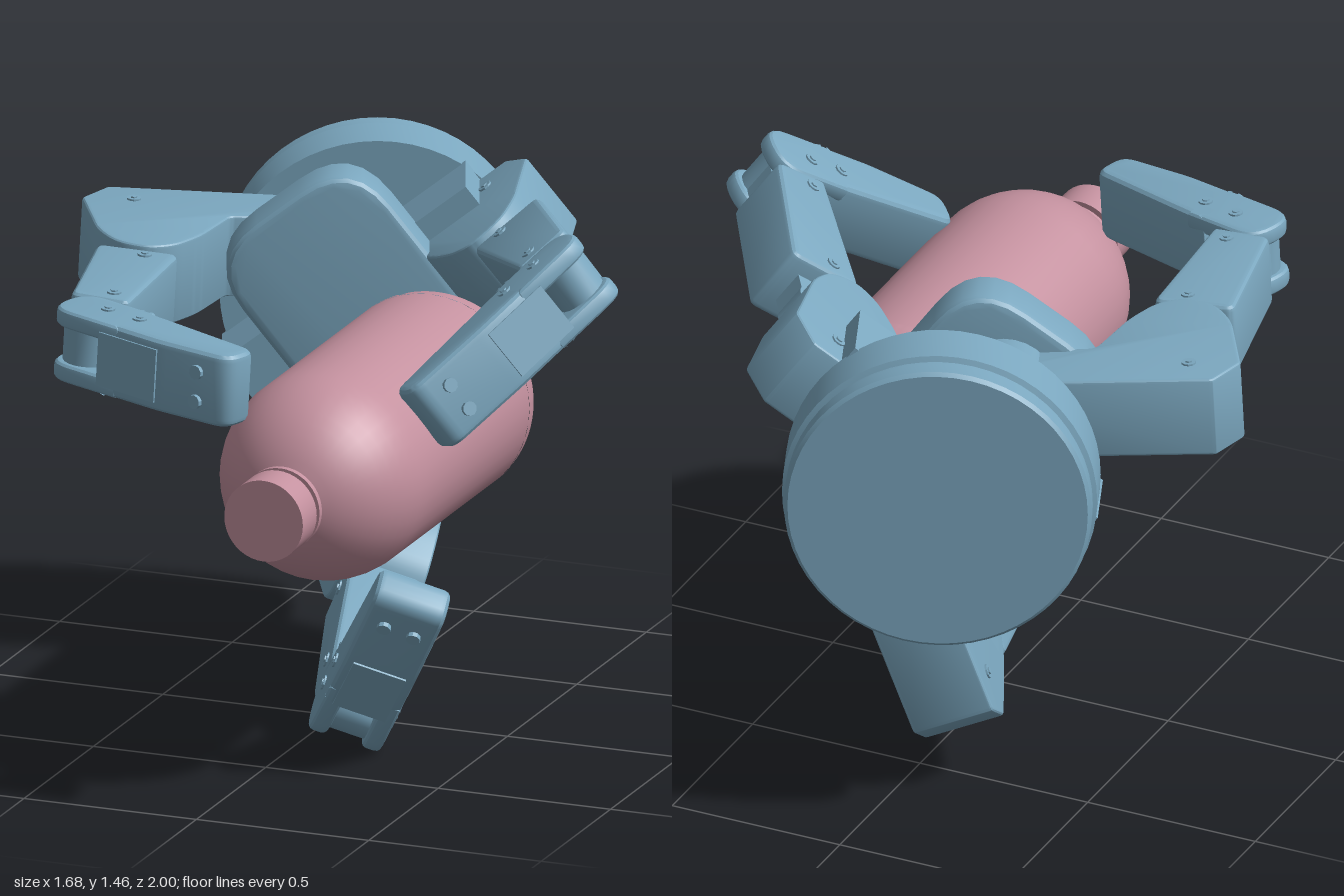
import * as THREE from 'three';
import { toCreasedNormals } from 'three/addons/utils/BufferGeometryUtils.js';

const steel = new THREE.MeshStandardMaterial({ color: 0x7ba7bf });
const pink = new THREE.MeshStandardMaterial({ color: 0xc4919f });

function add(parent, name, geo, mat = steel) {
  const m = new THREE.Mesh(toCreasedNormals(geo, 0.5), mat);
  m.name = name;
  parent.add(m);
  return m;
}

// Closed outline from [x, y, cornerRadius] points
function outline(pts) {
  const s = new THREE.Shape();
  const n = pts.length;
  pts.forEach(([x, y, r = 0.004], i) => {
    const toward = ([px, py]) => {
      const d = Math.hypot(px - x, py - y);
      return [x + (px - x) * r / d, y + (py - y) * r / d];
    };
    const a = toward(pts[(i + n - 1) % n]), b = toward(pts[(i + 1) % n]);
    if (i) s.lineTo(...a); else s.moveTo(...a);
    s.quadraticCurveTo(x, y, ...b);
  });
  s.closePath();
  return s;
}

// Outline extruded along z with bevelled rims, centred
function slab(pts, depth, bevel) {
  const g = new THREE.ExtrudeGeometry(outline(pts), {
    depth: depth - 2 * bevel, curveSegments: 6, bevelEnabled: true, bevelSegments: 3,
    bevelSize: bevel, bevelThickness: bevel, bevelOffset: -bevel,
  });
  return g.translate(0, 0, -depth / 2 + bevel);
}

// Side profile in the x-z plane, given a width along y
const link = (pts, width, bevel = 0.01) => slab(pts, width, bevel).rotateX(Math.PI / 2);

function addScrews(parent, xs, halfWidth, z) {
  for (const x of xs) {
    for (const side of [-1, 1]) {
      add(parent, 'screw', new THREE.CylinderGeometry(0.02, 0.02, 0.01, 10).translate(x, side * halfWidth, z));
      add(parent, 'screwHead', new THREE.CylinderGeometry(0.01, 0.01, 0.018, 6).translate(x, side * halfWidth, z));
    }
  }
}

// Group at a joint with its x axis aimed at the next joint
function jointGroup(parent, name, from, to) {
  const g = new THREE.Group();
  g.name = name;
  g.position.set(from[0], 0, from[1]);
  g.rotation.y = -Math.atan2(to[1] - from[1], to[0] - from[0]);
  parent.add(g);
  return [g, Math.hypot(to[0] - from[0], to[1] - from[1])];
}

// One finger: x runs outward from the palm, z forward, y across the width
function addFinger(palm, { name, angle, offset, shift, start, A, B, T }) {
  const f = new THREE.Group();
  f.name = name;
  const a = THREE.MathUtils.degToRad(angle);
  f.rotation.z = a;
  f.position.set(-Math.sin(a) * offset, Math.cos(a) * offset, 0);
  palm.add(f);

  // L-shaped base with a rounded knuckle
  const s = shift;
  add(f, 'fingerBase', link([
    [start, 0.0], [start, 0.18], [0.42 + s, 0.2, 0.02], [0.5 + s, 0.37, 0.04], [0.57 + s, 0.46, 0.04],
    [0.64 + s, 0.485, 0.03], [0.73 + s, 0.45, 0.05], [0.78 + s, 0.35, 0.04], [0.82 + s, 0.1, 0.01], [0.75 + s, 0.0, 0.01],
  ], 0.23));
  addScrews(f, [0.68 + s], 0.115, 0.1);

  // Middle link: tapered body with a tongue at both ends
  const [mid, L] = jointGroup(f, 'middleLink', A, B);
  add(mid, 'middleBody', link([
    [0.09, -0.115, 0.03], [0.09, 0.115, 0.03], [L - 0.07, 0.085, 0.02], [L - 0.09, -0.08, 0.02],
  ], 0.205, 0.018));
  add(mid, 'middleTongue', new THREE.BoxGeometry(L, 0.1, 0.12).translate(L / 2, 0, 0));
  for (const x of [0, L]) add(mid, 'hinge', new THREE.CylinderGeometry(0.07, 0.07, 0.1, 20).translate(x, 0, 0));
  addScrews(mid, [0.14, L - 0.13], 0.1025, 0.03);

  // Fingertip: two cheeks around the hinge, then a tapered body
  const [tip, D] = jointGroup(f, 'fingertip', B, T);
  for (const side of [-1, 1]) {
    add(tip, 'cheek', link([
      [-0.085, -0.085, 0.08], [-0.085, 0.085, 0.08], [0.16, 0.085], [0.16, -0.085],
    ], 0.054, 0.016).translate(0, side * 0.076, 0));
  }
  add(tip, 'fingertipBody', link([
    [0.1, -0.085], [0.1, 0.085], [0.2, 0.08, 0.03], [D, 0.055, 0.04], [D, -0.06, 0.05], [0.3, -0.085, 0.03],
  ], 0.206, 0.022));
  addScrews(tip, [0.05, 0.16], 0.103, 0.01);
  add(tip, 'backPanel', new THREE.BoxGeometry(0.2, 0.15, 0.008).translate(0.2, 0, -0.086));
  for (const side of [-1, 1]) {
    add(tip, 'tipScrew', new THREE.CylinderGeometry(0.02, 0.02, 0.03, 10)
      .rotateX(Math.PI / 2).translate(D - 0.1, side * 0.042, -0.066));
  }
}

function addBottle(root) {
  const bottle = new THREE.Group();
  bottle.name = 'bottle';
  bottle.position.set(0.195, 0.84, 0);
  root.add(bottle);
  const R = 0.288, V = (x, y) => new THREE.Vector2(x, y);

  // Body, dome, neck ring and cap
  const profile = [V(R, -0.2), V(R, 0.54)];
  for (let i = 1; i <= 10; i++) {
    const t = i / 10 * 1.27;
    profile.push(V(R * Math.cos(t), 0.54 + 0.304 * Math.sin(t)));
  }
  profile.push(V(0.085, 0.862), V(0.114, 0.862), V(0.114, 0.88), V(0.085, 0.88), V(0.085, 0.9),
    V(0.114, 0.9), V(0.114, 1), V(0, 1));
  add(bottle, 'bottleBody', new THREE.LatheGeometry(profile, 40).rotateX(Math.PI / 2), pink);

  // Rounded base cut by five V grooves
  const base = new THREE.RingGeometry(0, 1, 240, 40).rotateY(Math.PI);
  const p = base.attributes.position, step = Math.PI * 0.4;
  for (let i = 0; i < p.count; i++) {
    const x = p.getX(i), y = p.getY(i), t = Math.hypot(x, y), th = Math.atan2(y, x);
    const q = Math.max(0, (t - 0.6) / 0.4) * Math.PI / 2;
    const r = t < 0.6 ? t / 0.6 * 0.2 : 0.2 + 0.088 * Math.sin(q);
    const z = -0.2 - 0.12 * Math.cos(q);
    const off = th - step / 2 - Math.round((th - step / 2) / step) * step;
    const groove = -0.2 - 0.05 * (1 - r / R) - 1.6 * Math.abs(r * Math.sin(off));
    p.setXYZ(i, r * Math.cos(th), r * Math.sin(th), Math.max(z, groove));
  }
  add(bottle, 'bottleBase', base, pink);
}

export function createModel() {
  const root = new THREE.Group();
  root.name = 'gripperWithBottle';

  // Palm frame: z points out of the palm
  const palm = new THREE.Group();
  palm.name = 'gripper';
  palm.position.set(-0.13, 0.975, -0.628);
  palm.rotation.set(0.025, THREE.MathUtils.degToRad(22), 0, 'YXZ');
  root.add(palm);

  // Round wrist housing with a groove near the back
  const wrist = [[0, -0.235], [0.405, -0.235], [0.415, -0.225], [0.415, -0.175], [0.41, -0.17], [0.41, -0.158],
    [0.425, -0.152], [0.425, 0], [0, 0]].map(([x, y]) => new THREE.Vector2(x, y));
  add(palm, 'wristHousing', new THREE.LatheGeometry(wrist, 56).rotateX(Math.PI / 2));

  // Palm pad and the cross block behind it
  const pad = new THREE.Group();
  pad.name = 'palm';
  pad.rotation.z = THREE.MathUtils.degToRad(37);
  palm.add(pad);
  const w = 0.25, h = 0.435, r = 0.18;
  add(pad, 'palmPad', slab([[-w, -h, r], [w, -h, r], [w, h, r], [-w, h, r]], 0.15, 0.025).translate(-0.01, 0, 0.25));
  add(pad, 'crossBlock', new THREE.BoxGeometry(0.82, 0.24, 0.22).translate(0, 0.03, 0.1));
  for (const side of [-1, 1]) {
    add(pad, 'fingerPivot', new THREE.CylinderGeometry(0.14, 0.14, 0.2, 28)
      .rotateX(Math.PI / 2).translate(-0.02, side * 0.23, 0.09));
  }

  addFinger(palm, { name: 'rightFinger', angle: 177, offset: -0.145, shift: -0.01, start: 0.02,
    A: [0.635, 0.38], B: [0.785, 0.965], T: [0.375, 1.3] });
  addFinger(palm, { name: 'lowerFinger', angle: 250, offset: 0.235, shift: -0.02, start: 0.02,
    A: [0.65, 0.375], B: [0.83, 0.955], T: [0.36, 1.275] });
  addFinger(palm, { name: 'leftFinger', angle: 37.4, offset: -0.03, shift: -0.25, start: 0.1,
    A: [0.46, 0.375], B: [0.63, 0.97], T: [0.13, 1.24] });

  addBottle(root);
  return root;
}
